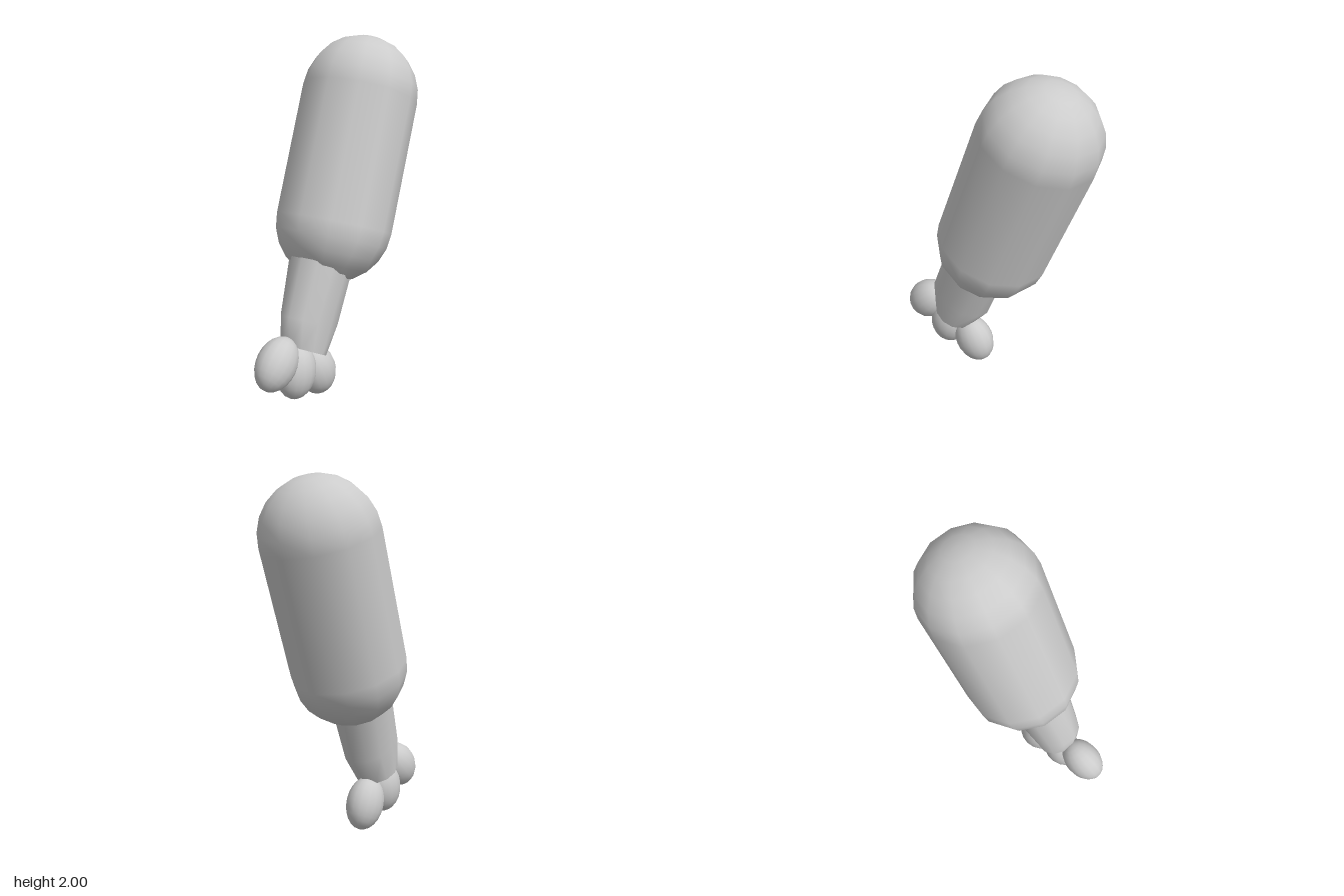
import * as THREE from 'three';

const TILT = -Math.PI / 9;

export function createModel() {
  const group = new THREE.Group();
  const material = new THREE.MeshStandardMaterial({ color: 0xcccccc });

  const add = (parent, name, geometry, x, y, z, rotation = 0) => {
    const mesh = new THREE.Mesh(geometry, material);
    mesh.name = name;
    mesh.position.set(x, y, z);
    mesh.rotation.z = rotation;
    parent.add(mesh);
    return mesh;
  };

  // Thick rounded upper limb
  add(group, 'upperLimb', new THREE.CapsuleGeometry(0.327, 0.746, 6, 12), 0.16, 1.323, 0, TILT);

  // Lower limb: stacked oval rings, pinched at the wrist
  const rings = [ // height along the axis, x radius, z radius, x shift
    [0.21, 0.129, 0.13, -0.355],
    [0.38, 0.192, 0.147, -0.355],
    [0.9, 0.188, 0.19, -0.35],
  ];
  const lower = new THREE.CylinderGeometry(1, 1, 2, 12, 2);
  const p = lower.attributes.position;
  for (let i = 0; i < p.count; i++) {
    const [h, rx, rz, cx] = rings[Math.round(p.getY(i)) + 1];
    // the wrist rim is cut at a slight slant
    const slant = h < 0.3 ? -0.015 * p.getX(i) : 0;
    p.setXYZ(i, cx + p.getX(i) * rx, h + slant, p.getZ(i) * rz);
  }
  lower.computeVertexNormals();
  // Keep the side seam smooth
  const n = lower.attributes.normal;
  for (let row = 0; row < 3; row++) {
    const a = row * 13, b = a + 12;
    const v = new THREE.Vector3().fromBufferAttribute(n, a)
      .add(new THREE.Vector3().fromBufferAttribute(n, b)).normalize();
    n.setXYZ(a, v.x, v.y, v.z);
    n.setXYZ(b, v.x, v.y, v.z);
  }
  add(group, 'lowerLimb', lower, 0, 0, 0, TILT);

  // Three egg-shaped toes fanned around the wrist
  const toes = new THREE.Group();
  toes.name = 'toes';
  group.add(toes);
  const spread = [ // x, y, z, rotation
    [-0.476, 0.306, -0.015, -0.8],
    [-0.315, 0.207, -0.01, -0.15],
    [-0.128, 0.15, -0.01, 0.42],
  ];
  for (const [x, y, z, rotation] of spread) {
    add(toes, 'toe', new THREE.SphereGeometry(1, 16, 12), x, y, z, rotation)
      .scale.set(0.122, 0.155, 0.105);
  }
  return group;
}
